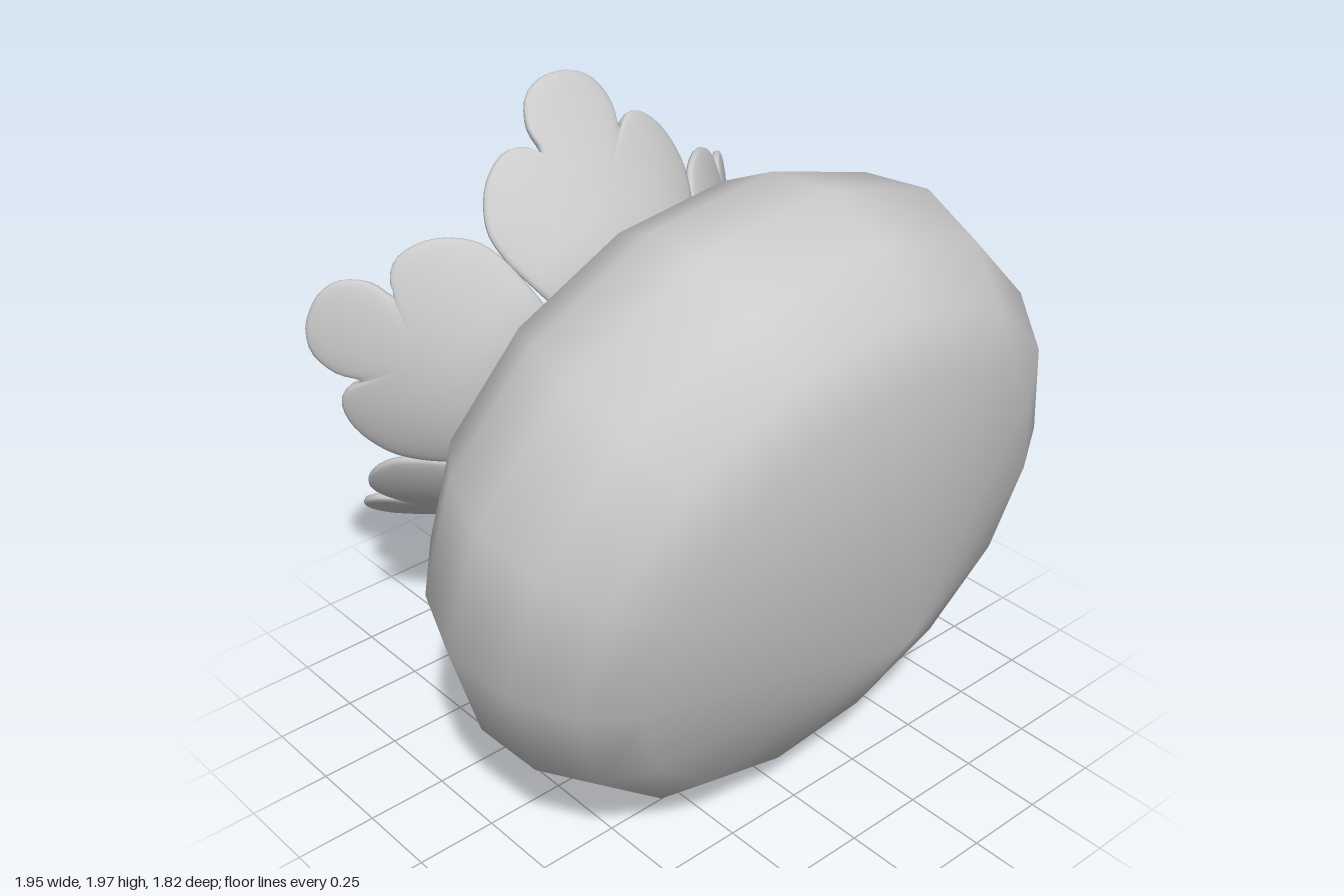
import * as THREE from 'three';
import { mergeVertices } from 'three/addons/utils/BufferGeometryUtils.js';

const material = new THREE.MeshStandardMaterial({ color: 0xcccccc });
const v2 = ([x, y]) => new THREE.Vector2(x, y);

function addMesh(parent, geometry, name) {
  const mesh = new THREE.Mesh(geometry, material);
  mesh.name = name;
  parent.add(mesh);
  return mesh;
}

// Squashed fruit, turned from a profile of [radius, height]
function bodyGeometry() {
  const profile = [
    [0, 0], [0.71, 0.245], [0.85, 0.335], [0.95, 0.5], [0.985, 0.705],
    [0.92, 0.9], [0.8, 1.048], [0.545, 1.17], [0.3, 1.212], [0, 1.214],
  ].map(v2);
  const g = new THREE.LatheGeometry(profile, 14, THREE.MathUtils.degToRad(4.7));
  g.deleteAttribute('uv');
  g.deleteAttribute('normal');
  const merged = mergeVertices(g, 1e-4);
  merged.computeVertexNormals();
  return merged;
}

// Three-lobed cushion-like petal, wrapped onto a flaring bowl
function petalGeometry() {
  const bowl = new THREE.SplineCurve(
    [[0.31, 1.215], [0.47, 1.3], [0.575, 1.405], [0.725, 1.59], [0.815, 1.7]].map(v2));
  const length = 0.72, half = 0.022, centre = 0.36;

  // Right half of the outline: [sideways, along the petal]
  const right = [
    [0.16, 0], [0.25, 0.12], [0.325, 0.25], [0.37, 0.36], [0.38, 0.44], [0.335, 0.53],
    [0.25, 0.575], [0.185, 0.56], [0.14, 0.52], [0.152, 0.6], [0.12, 0.68], [0.06, 0.714],
  ];
  const left = right.map(([w, v]) => [-w, v]).reverse();
  const outline = new THREE.CatmullRomCurve3(
    [...right, [0, 0.72], ...left].map(([w, v]) => new THREE.Vector3(w, v, 0)), true);

  const around = 96, across = 20;
  const positions = [], index = [];
  for (let j = 0; j <= across; j++) {
    const t = (Math.PI * j) / across;
    const k = Math.pow(Math.max(Math.sin(t), 0), 0.8);
    const h = half * Math.sign(Math.cos(t)) * Math.sqrt(Math.abs(Math.cos(t)));
    for (let i = 0; i < around; i++) {
      const o = outline.getPointAt(i / around);
      const w = o.x * k;
      const s = THREE.MathUtils.clamp((centre + (o.y - centre) * k) / length, 0, 1);
      const p = bowl.getPointAt(s), d = bowl.getTangentAt(s);
      const angle = w / p.x;
      const r = p.x + d.y * h;
      positions.push(r * Math.sin(angle), p.y - d.x * h, r * Math.cos(angle));
      if (j < across) {
        const n = (i + 1) % around;
        const a = j * around + i, b = a + around;
        const c = (j + 1) * around + n, e = j * around + n;
        index.push(a, b, c, a, c, e);
      }
    }
  }
  const g = new THREE.BufferGeometry();
  g.setAttribute('position', new THREE.Float32BufferAttribute(positions, 3));
  g.setIndex(index);
  const merged = mergeVertices(g, 1e-5);
  merged.computeVertexNormals();
  return merged;
}

export function createModel() {
  const model = new THREE.Group();
  model.name = 'fruit';

  // The fruit lies on its side, its crown tipped slightly upward at the back
  const tilted = new THREE.Group();
  tilted.name = 'tiltedFruit';
  tilted.position.set(0, 0.81, 0.9);
  tilted.rotation.x = -Math.acos(0.25);
  model.add(tilted);
  addMesh(tilted, bodyGeometry(), 'body');

  // Crown: flat floor ringed by five petals
  const crown = new THREE.Group();
  crown.name = 'crown';
  crown.position.z = -0.035;
  tilted.add(crown);
  const floor = addMesh(crown, new THREE.CircleGeometry(0.33, 32), 'crownFloor');
  floor.rotation.x = -Math.PI / 2;
  floor.position.y = 1.22;
  const petal = petalGeometry();
  for (let i = 0; i < 5; i++) {
    addMesh(crown, petal, 'petal').rotation.y = (i * 2 * Math.PI) / 5;
  }
  return model;
}
